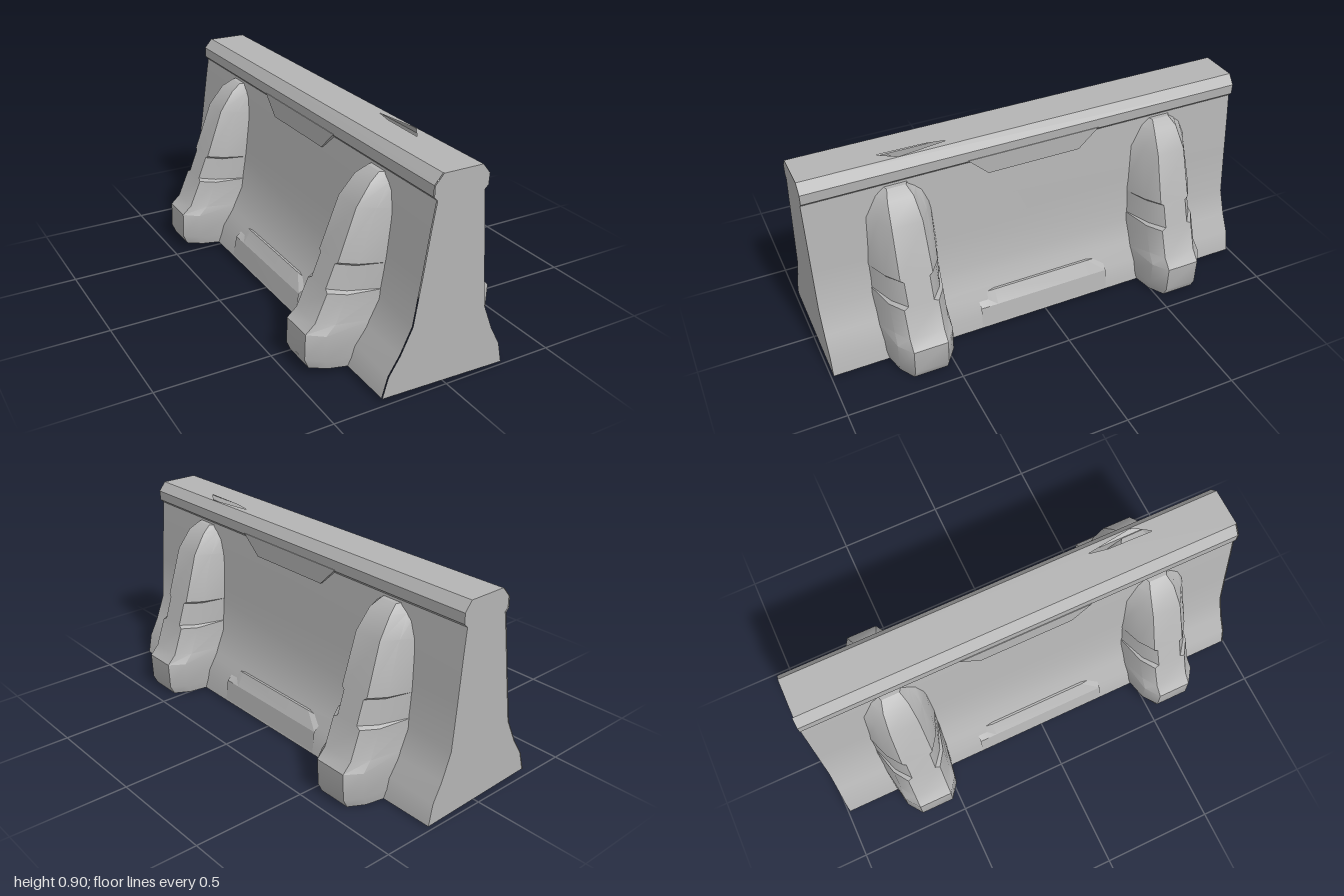
import * as THREE from 'three';
import { toCreasedNormals } from 'three/addons/utils/BufferGeometryUtils.js';

const concrete = new THREE.MeshStandardMaterial({ color: 0xb4b4b4, side: THREE.DoubleSide });
concrete.name = 'grey concrete';

// Half outline of the barrier from foot to cap: [x, y]
const PROFILE = [
  [0.28, 0.02], [0.258, 0.11], [0.212, 0.19], [0.165, 0.3], [0.14, 0.5], [0.118, 0.69],
  [0.104, 0.795], [0.119, 0.81], [0.12, 0.855], [0.086, 0.896],
];

// Post levels: y, outer x, outer half width, shoulder half width, inner x, inner half width
const POST = [
  [0.02, 0.423, 0.075, 0.115, 0.25, 0.14], [0.06, 0.441, 0.075, 0.122, 0.25, 0.145],
  [0.175, 0.441, 0.075, 0.122, 0.21, 0.15], [0.215, 0.4, 0.075, 0.118, 0.19, 0.15],
  [0.335, 0.352, 0.075, 0.118, 0.14, 0.155], [0.345, 0.348, 0.055, 0.105, 0.14, 0.155],
  [0.445, 0.312, 0.055, 0.105, 0.13, 0.155], [0.455, 0.308, 0.07, 0.116, 0.13, 0.155],
  [0.67, 0.235, 0.065, 0.105, 0.1, 0.145], [0.755, 0.172, 0.055, 0.085, 0.09, 0.11],
  [0.785, 0.125, 0.04, 0.06, 0.08, 0.07],
];

// Slight lean and settling shared by every part
function settle(geometry) {
  const p = geometry.attributes.position;
  for (let i = 0; i < p.count; i++) {
    const x = p.getX(i), y = p.getY(i), z = p.getZ(i);
    p.setX(i, x + 0.038 * y - 0.008);
    p.setY(i, y - 0.036 * x * Math.max(0, 1 - y / 0.85) - 0.005 * z * y);
  }
  return geometry;
}

function addPart(group, name, geometry, crease = 0.55) {
  const mesh = new THREE.Mesh(toCreasedNormals(settle(geometry), crease), concrete);
  mesh.name = name;
  group.add(mesh);
  return mesh;
}

// Skin joining a series of point rows; closed wraps each row round
function skin(rows, closed, capped) {
  const n = rows[0].length, index = [];
  for (let r = 0; r < rows.length - 1; r++) {
    for (let i = 0; i < (closed ? n : n - 1); i++) {
      const a = r * n + i, b = r * n + (i + 1) % n;
      index.push(a, a + n, b, b, a + n, b + n);
    }
  }
  if (capped) {
    const last = (rows.length - 1) * n;
    for (let i = 1; i < n - 1; i++) index.push(0, i, i + 1, last, last + i + 1, last + i);
  }
  const g = new THREE.BufferGeometry();
  g.setAttribute('position', new THREE.Float32BufferAttribute(rows.flat(2), 3));
  g.setIndex(index);
  return g;
}

const shapeOf = (pts) => new THREE.Shape(pts.map(([x, y]) => new THREE.Vector2(x, y)));

export function createModel() {
  const group = new THREE.Group();
  group.name = 'roadBarrier';

  // Long side walls, hollow and open underneath
  for (const s of [1, -1]) {
    const rows = [0.99, -0.985].map((z) => PROFILE.map(([x, y]) => [s * x, y, s * z]));
    addPart(group, s > 0 ? 'leftWall' : 'rightWall', skin(rows, false, false));
  }

  // End walls
  const outline = [...PROFILE, ...PROFILE.map(([x, y]) => [-x, y]).reverse()];
  const front = new THREE.ShapeGeometry(shapeOf(outline)).translate(0, 0, 0.99);
  addPart(group, 'frontEnd', front);
  const back = new THREE.ShapeGeometry(shapeOf(outline)).rotateY(Math.PI).translate(0, 0, -0.985);
  addPart(group, 'backEnd', back);

  // Top face with a broken opening (drawn in x and -z)
  const top = shapeOf([[-0.086, -0.99], [0.086, -0.99], [0.086, 0.985], [-0.086, 0.985]]);
  top.holes.push(new THREE.Path([[0.054, -0.365], [0.087 - 0.004, -0.58], [0.034, -0.655], [0.039, -0.45]]
    .map(([x, y]) => new THREE.Vector2(x, y))));
  addPart(group, 'capTop', new THREE.ShapeGeometry(top).rotateX(-Math.PI / 2).translate(0, 0.896, 0));

  for (const s of [1, -1]) {
    const side = s > 0 ? 'left' : 'right';

    // Hanging panel below the middle of the cap
    const drop = new THREE.ExtrudeGeometry(
      shapeOf([[-0.3, 0.815], [-0.21, 0.73], [0.21, 0.73], [0.3, 0.815]]),
      { depth: 0.03, bevelEnabled: false },
    ).rotateY(s * Math.PI / 2).translate(s * 0.092, 0, 0);
    addPart(group, side + 'CapPanel', drop);

    // Kerb along the foot, tapering at both ends
    const kerb = [[0.31, -0.014], [0.23, 0], [-0.23, 0], [-0.31, -0.014]].map(([z, d]) =>
      [[0.279, 0.03], [0.264, 0.12], [0.228 + d, 0.178 + d], [0.17, 0.183 + d]].map(([x, y]) => [s * x, y, s * z]));
    addPart(group, side + 'Kerb', skin(kerb, false, false), 0.3);

    // Buttress posts with wide feet and notched shoulders
    for (const z of [0.61, -0.61]) {
      const rows = POST.map(([y, xo, ho, hm, xi, hi]) => {
        const xm = xo - 0.065;
        return [[xi, -hi], [xm, -hm], [xo, -ho], [xo, ho], [xm, hm], [xi, hi]]
          .map(([x, w]) => [s * x, y, z + s * w]);
      });
      addPart(group, side + (z > 0 ? 'FrontPost' : 'BackPost'), skin(rows, true, true));
    }
  }
  return group;
}
